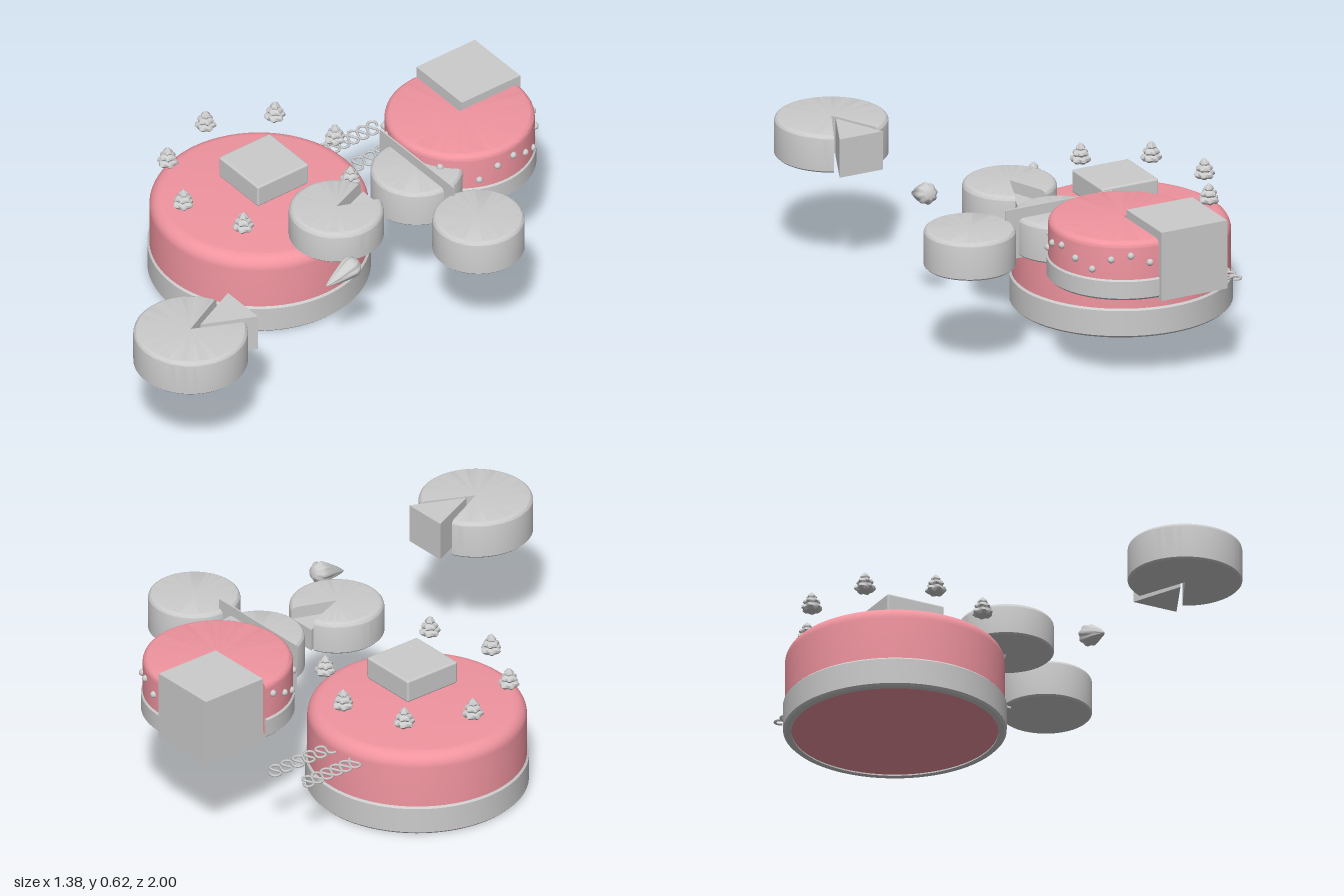
import * as THREE from 'three';
import { toCreasedNormals } from 'three/addons/utils/BufferGeometryUtils.js';
import { RoundedBoxGeometry } from 'three/addons/geometries/RoundedBoxGeometry.js';

const grey = new THREE.MeshStandardMaterial({ color: 0xcccccc, side: THREE.DoubleSide });
const pink = new THREE.MeshStandardMaterial({ color: 0xf0949f, side: THREE.DoubleSide });
const TAU = Math.PI * 2;

export function createModel() {
  const root = new THREE.Group();

  function add(name, geo, mat, x = 0, y = 0, z = 0, parent = root) {
    const mesh = new THREE.Mesh(geo, mat);
    mesh.name = name;
    mesh.position.set(x, y, z);
    parent.add(mesh);
    return mesh;
  }

  // Closed disc profile with a rounded upper rim
  function discProfile(r, h, bevel, foot = 0.006) {
    const pts = [[0, 0], [r - foot, 0], [r, foot]];
    for (let i = 0; i <= 8; i++) {
      const a = (i / 8) * Math.PI / 2;
      pts.push([r - bevel + bevel * Math.cos(a), h - bevel + bevel * Math.sin(a)]);
    }
    pts.push([0, h]);
    return pts.map(p => new THREE.Vector2(...p));
  }

  // Closed band profile around the foot of a cake
  function bandProfile(r, h, t) {
    const b = 0.008;
    return [[r - t, 0], [r - b, 0], [r, b], [r, h - b], [r - b, h], [r - t, h], [r - t, 0]]
      .map(p => new THREE.Vector2(...p));
  }

  // Turned solid; a part turn gets flat faces where it is cut
  function turned(name, profile, mat, x, y, z, start = 0, length = TAU) {
    const group = new THREE.Group();
    group.name = name;
    group.position.set(x, y, z);
    root.add(group);
    const geo = new THREE.LatheGeometry(profile, 72, start, length);
    add(name + 'Body', toCreasedNormals(geo, 0.6), mat, 0, 0, 0, group);
    if (length < TAU) {
      for (const phi of [start, start + length]) {
        const face = new THREE.ShapeGeometry(new THREE.Shape(profile));
        add(name + 'CutFace', face.rotateY(phi - Math.PI / 2), mat, 0, 0, 0, group);
      }
    }
    return group;
  }

  // Triangular slice: apex at the origin, widening towards -z
  function slice(name, halfWidth, depth, h, x, y, z) {
    const s = new THREE.Shape();
    s.moveTo(0, 0);
    s.lineTo(halfWidth, depth);
    s.lineTo(-halfWidth, depth);
    s.closePath();
    const geo = new THREE.ExtrudeGeometry(s, { depth: h, bevelEnabled: false });
    add(name, geo.rotateX(-Math.PI / 2), grey, x, y, z);
  }

  // Piped cream: a turned profile with twisted flutes
  function piped(points, flutes, twist, depth) {
    const geo = new THREE.LatheGeometry(points.map(p => new THREE.Vector2(...p)), 48);
    const pos = geo.attributes.position;
    for (let i = 0; i < pos.count; i++) {
      const x = pos.getX(i), y = pos.getY(i), z = pos.getZ(i);
      const k = 1 + depth * Math.cos(flutes * Math.atan2(x, z) + twist * y);
      pos.setXYZ(i, x * k, y, z * k);
    }
    return toCreasedNormals(geo, 0.8);
  }

  // Large cake
  const cx = -0.29, cz = -0.073;
  turned('largeCake', discProfile(0.395, 0.315, 0.05), pink, cx, 0.005, cz);
  turned('largeCakeBand', bandProfile(0.402, 0.112, 0.03), grey, cx, 0, cz);
  add('topBlock', new RoundedBoxGeometry(0.232, 0.088, 0.232, 2, 0.008), grey, -0.265, 0.44, -0.075);

  // Cream rosettes in a circle above the large cake
  const rosette = piped([[0, 0], [0.026, 0], [0.035, 0.01], [0.033, 0.02], [0.022, 0.026],
    [0.028, 0.034], [0.025, 0.043], [0.014, 0.049], [0.017, 0.055], [0.012, 0.064], [0, 0.076]], 6, 60, 0.13);
  for (let i = 0; i < 8; i++) {
    const a = (i / 8) * TAU - 0.04;
    const m = add('rosette', rosette, grey, cx + 0.333 * Math.sin(a), 0.41, cz + 0.333 * Math.cos(a));
    m.rotation.y = a;
  }

  // Small cake with a quarter removed
  const sx = 0.05, sz = -0.72, from = Math.PI * 1.5, turn = Math.PI * 1.5;
  turned('smallCake', discProfile(0.27, 0.212, 0.025), pink, sx, 0.385, sz, from, turn);
  turned('smallCakeBand', bandProfile(0.276, 0.08, 0.02), grey, sx, 0.375, sz, from, turn);
  add('cornerBlock', new THREE.BoxGeometry(0.268, 0.262, 0.265), grey, -0.09, 0.493, -0.867);

  // Sugar pearls zigzagging round the small cake
  const pearl = new THREE.SphereGeometry(0.013, 14, 10);
  for (let i = 0; i < 18; i++) {
    const a = from + turn * (i + 0.5) / 18;
    add('pearl', pearl, grey, sx + 0.271 * Math.sin(a), [0.545, 0.515, 0.487, 0.53][i % 4], sz + 0.271 * Math.cos(a));
  }

  // Plain round layers, and the thin plate through one of them
  for (const x of [0.16, 0.525]) turned('roundLayer', discProfile(0.166, 0.143, 0.018), grey, x, 0.4, -0.44);
  add('thinPlate', new THREE.BoxGeometry(0.435, 0.19, 0.006), grey, 0.163, 0.487, -0.44);

  // Layers with a slice cut from the back
  const notched = (name, r, h, bevel, half, x, y, z) =>
    turned(name, discProfile(r, h, bevel), grey, x, y, z, Math.PI + half, TAU - 2 * half);
  notched('notchedLayer', 0.171, 0.125, 0.022, 0.37, 0.165, 0.412, -0.073);
  slice('sunkenSlice', 0.053, 0.14, 0.085, 0.165, 0.412, -0.095);
  notched('frontLayer', 0.206, 0.143, 0.018, 0.45, 0.428, 0.4, 0.789);
  slice('frontSlice', 0.088, 0.193, 0.147, 0.432, 0.399, 0.748);

  // Fluted cream drop lying on its side
  const drop = add('creamDrop', piped([[0, 0], [0.022, 0.003], [0.036, 0.02], [0.039, 0.034],
    [0.031, 0.065], [0.02, 0.105], [0.009, 0.135], [0, 0.152]], 8, 14, 0.07), grey, 0.43, 0.497, 0.033);
  drop.rotation.x = Math.PI / 2 + 0.3;

  // Thin wavy icing strands behind the large cake
  for (const [x, z0, z1] of [[-0.41, -0.44, -0.7], [-0.275, -0.43, -0.745]]) {
    const pts = [];
    for (let i = 0; i <= 60; i++) {
      const t = i / 60;
      pts.push(new THREE.Vector3(x + 0.033 * Math.sin(t * TAU * 6), 0.262,
        z0 + (z1 - z0) * t + 0.012 * Math.sin(t * TAU * 12)));
    }
    add('icingStrand', new THREE.TubeGeometry(new THREE.CatmullRomCurve3(pts), 180, 0.005, 6), grey);
  }

  return root;
}
